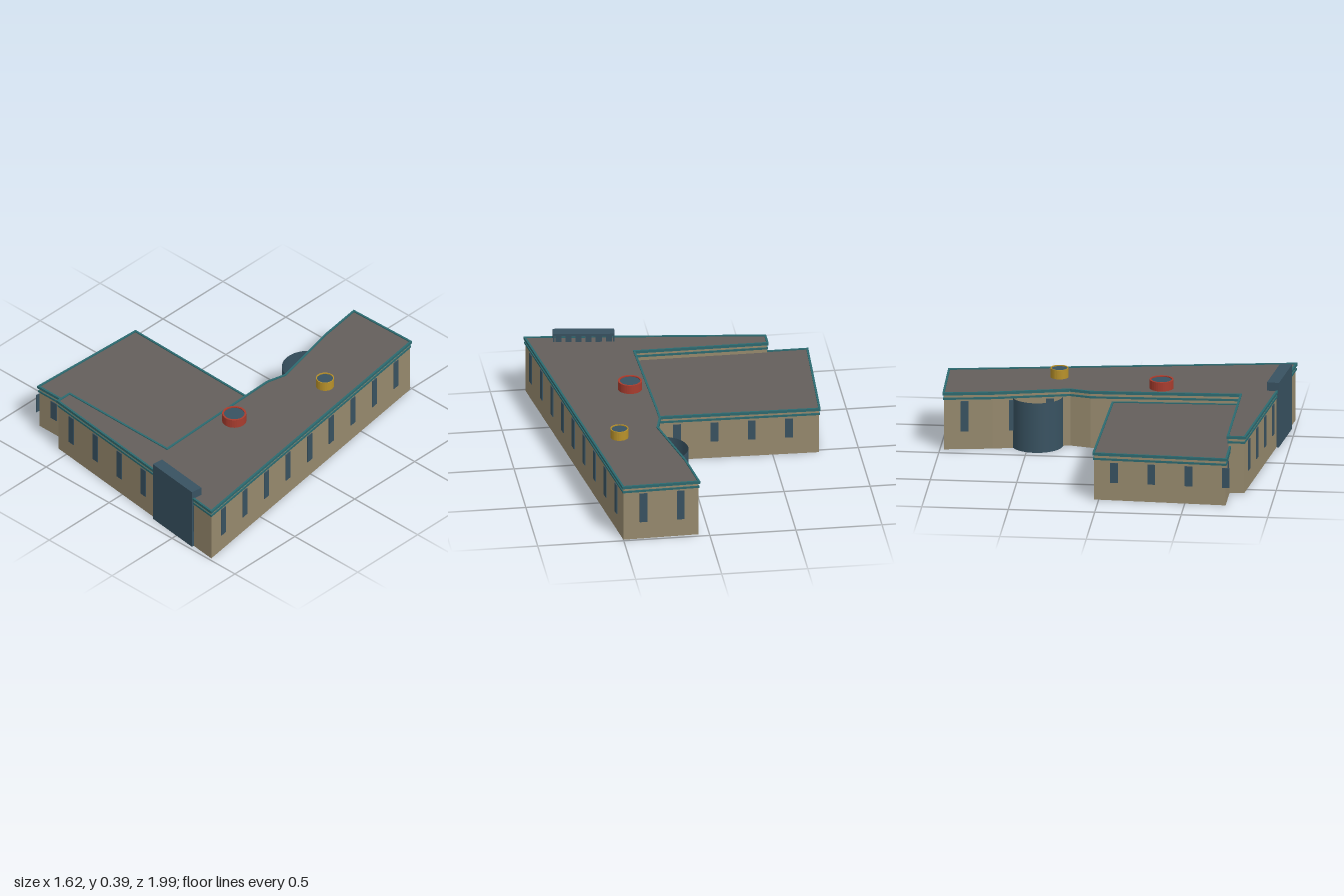
import * as THREE from 'three';

const mat = (name, color, side = THREE.FrontSide) => {
  const m = new THREE.MeshStandardMaterial({ color, side });
  m.name = name;
  return m;
};

export function createModel() {
  const wallMat = mat('sandstone', 0x978a6e, THREE.DoubleSide);
  const roofMat = mat('roof grey', 0x645f5b, THREE.DoubleSide);
  const trimMat = mat('teal trim', 0x2c6a70);
  const glassMat = mat('blue glass', 0x385261, THREE.DoubleSide);
  const redMat = mat('red drum', 0xa83c2e, THREE.DoubleSide);
  const yellowMat = mat('yellow drum', 0xb8912a, THREE.DoubleSide);

  const model = new THREE.Group();
  model.name = 'building';
  const add = (parent, name, geo, material, x = 0, y = 0, z = 0) => {
    const m = new THREE.Mesh(geo, material);
    m.name = name;
    m.position.set(x, y, z);
    parent.add(m);
    return m;
  };

  // Footprint helpers: points are [x, z], running front, right, back, left
  const toVectors = (pts) => pts.map(([x, z]) => new THREE.Vector2(x, -z));
  const offset = (pts, d) => pts.map((p, i) => {
    const a = pts[(i + pts.length - 1) % pts.length], b = pts[(i + 1) % pts.length];
    const l1 = Math.hypot(p[0] - a[0], p[1] - a[1]), l2 = Math.hypot(b[0] - p[0], b[1] - p[1]);
    const n1 = [-(p[1] - a[1]) / l1, (p[0] - a[0]) / l1];
    const n2 = [-(b[1] - p[1]) / l2, (b[0] - p[0]) / l2];
    const k = d / (1 + n1[0] * n2[0] + n1[1] * n2[1]);
    return [p[0] + (n1[0] + n2[0]) * k, p[1] + (n1[1] + n2[1]) * k];
  });
  const band = (pts, inner, outer, height) => {
    const shape = new THREE.Shape(toVectors(offset(pts, outer)));
    shape.holes.push(new THREE.Path(toVectors(offset(pts, inner))));
    return new THREE.ExtrudeGeometry(shape, { depth: height, bevelEnabled: false }).rotateX(-Math.PI / 2);
  };

  // One wing: open-bottomed walls, roof, two trim bands and evenly spaced windows
  function wing(name, pts, top, windowTop, windowEdges) {
    const g = new THREE.Group();
    g.name = name;
    model.add(g);
    pts.forEach((a, i) => {
      const b = pts[(i + 1) % pts.length];
      const dx = b[0] - a[0], dz = b[1] - a[1], len = Math.hypot(dx, dz);
      const side = new THREE.Group();
      side.name = 'side' + (i + 1);
      side.position.set(a[0], 0, a[1]);
      side.rotation.y = Math.atan2(-dz, dx);
      g.add(side);
      const h = top - 0.01;
      add(side, 'wall', new THREE.PlaneGeometry(len, h), wallMat, len / 2, h / 2, 0);
      const limit = windowEdges[i] || 0;
      for (let k = 0; k < limit; k++) {
        const wh = windowTop - 0.107;
        add(side, 'window', new THREE.BoxGeometry(0.045, wh, 0.005), glassMat,
          0.117 + k * 0.2165, 0.107 + wh / 2, 0.003);
      }
    });
    const roof = new THREE.ShapeGeometry(new THREE.Shape(toVectors(pts))).rotateX(-Math.PI / 2);
    add(g, 'roof', roof, roofMat, 0, top - 0.006, 0);
    add(g, 'corniceTrim', band(pts, -0.003, 0.009, 0.016), trimMat, 0, top - 0.016, 0);
    add(g, 'stripeTrim', band(pts, 0, 0.005, 0.012), trimMat, 0, top - 0.044, 0);
  }

  wing('mainWing', [
    [-0.57, 0.822], [0.798, 0.985], [0.5, -0.987], [0.064, -0.976], [0.104, -0.7],
    [0.205, -0.26], [0.175, -0.14], [0.178, -0.01], [0.205, 0.73], [-0.57, 0.73],
  ], 0.345, 0.29, [6, 9, 2, 1, 2]);

  wing('lowWing', [
    [-0.803, 0.738], [0.2, 0.735], [0.172, -0.008], [-0.768, -0.027],
  ], 0.285, 0.227, [1, 0, 4, 4]);

  // Entrance tower: glazed front and sides, top slab, open fins at the back
  const entrance = new THREE.Group();
  entrance.name = 'entrance';
  entrance.position.set(0.466, 0, 0.9455);
  entrance.rotation.y = Math.atan2(-0.163, 1.368);
  model.add(entrance);
  const W = 0.354, H = 0.39;
  add(entrance, 'entranceFront', new THREE.BoxGeometry(W, H, 0.012), glassMat, 0, H / 2, 0.008);
  add(entrance, 'entranceTop', new THREE.BoxGeometry(W, 0.012, 0.07), glassMat, 0, H - 0.006, -0.021);
  for (const s of [-1, 1]) {
    add(entrance, 'entranceSide', new THREE.BoxGeometry(0.008, H, 0.07), glassMat, s * (W / 2 - 0.004), H / 2, -0.021);
  }
  for (let i = 0; i < 6; i++) {
    add(entrance, 'entranceFin', new THREE.BoxGeometry(0.035, H, 0.006), glassMat, -0.145 + i * 0.058, H / 2, -0.053);
  }

  // Curved glazed bay on the back of the main wing
  add(model, 'curvedBay', new THREE.CylinderGeometry(0.15, 0.15, 0.3, 24, 1, true, Math.PI * 1.08, Math.PI * 0.92),
    glassMat, 0.2, 0.15, -0.45);

  // Roof drums: coloured ring around a glass disc
  const drum = (name, x, z, r, t, top, material) => {
    const base = 0.33, profile = [[r - t, base], [r, base], [r, top], [r - t, top], [r - t, base]];
    const ring = new THREE.LatheGeometry(profile.map(([a, b]) => new THREE.Vector2(a, b)), 32).toNonIndexed();
    ring.computeVertexNormals();
    add(model, name + 'Ring', ring, material, x, 0, z);
    add(model, name + 'Skylight', new THREE.CircleGeometry(r - t, 32).rotateX(-Math.PI / 2), glassMat, x, top - 0.006, z);
  };
  drum('redDrum', 0.29, 0.26, 0.07, 0.011, 0.392, redMat);
  drum('yellowDrum', 0.435, -0.345, 0.052, 0.006, 0.394, yellowMat);

  return model;
}
